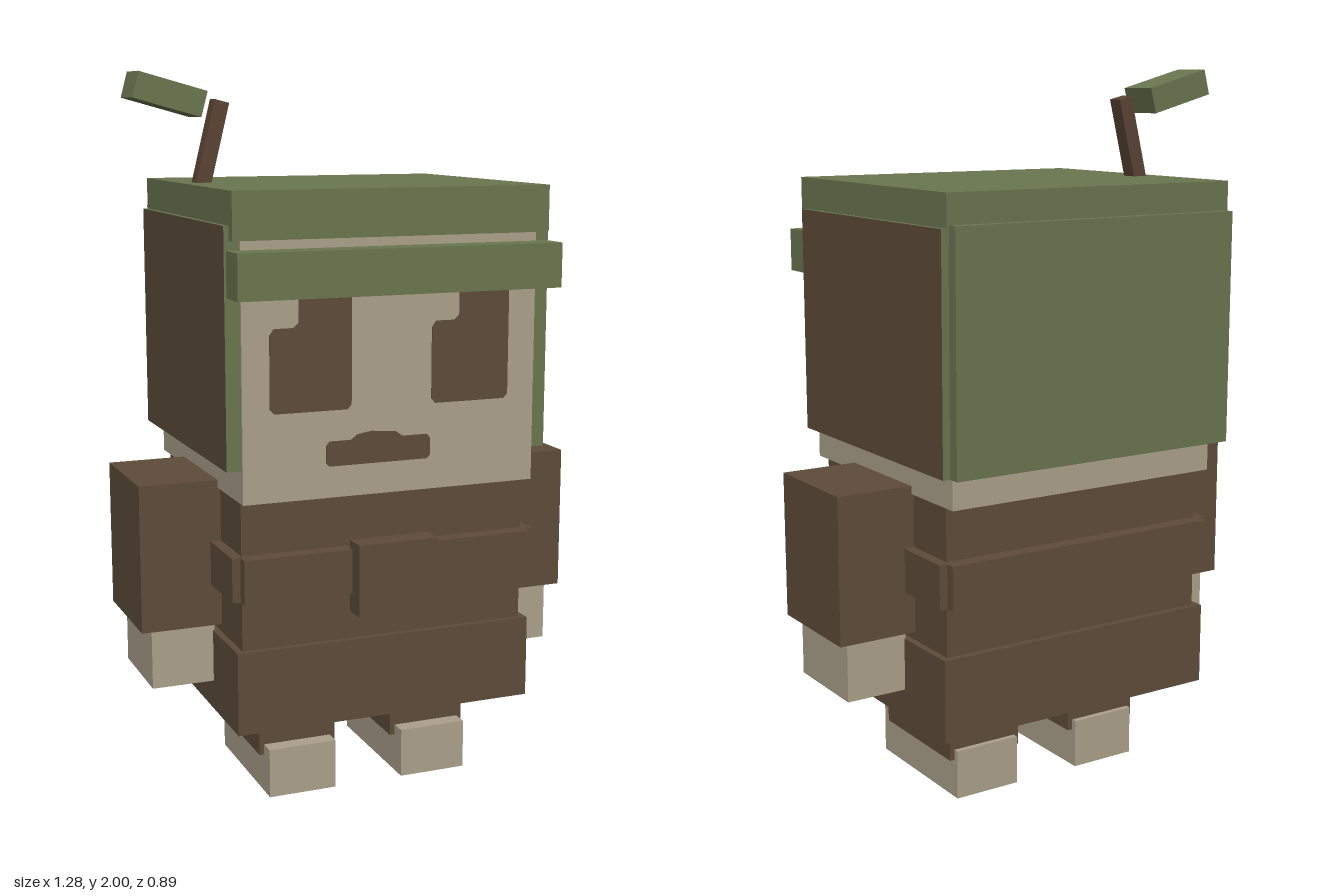
import * as THREE from 'three';

const mat = (name, color) => {
  const m = new THREE.MeshStandardMaterial({ color });
  m.name = name;
  return m;
};

export function createModel() {
  const green = mat('moss green', 0x6a764f);
  const brown = mat('bark brown', 0x5e4c3a);
  const twigBrown = mat('twig brown', 0x5b4435);
  const skin = mat('pale wood', 0xaba08b);

  const model = new THREE.Group();
  model.name = 'blockFigure';

  // Box given by its extents on each axis
  const box = (name, material, [x0, x1], [y0, y1], [z0, z1], parent = model) => {
    const mesh = new THREE.Mesh(new THREE.BoxGeometry(x1 - x0, y1 - y0, z1 - z0), material);
    mesh.position.set((x0 + x1) / 2, (y0 + y1) / 2, (z0 + z1) / 2);
    mesh.name = name;
    parent.add(mesh);
    return mesh;
  };
  // Extent along x for the left (s = 1) or right (s = -1) side
  const side = (s, a, b) => (s > 0 ? [a, b] : [-b, -a]);

  // Head and hair
  box('head', skin, [-0.42, 0.42], [0.89, 1.6], [-0.39, 0.365]);
  box('hairTop', green, [-0.447, 0.447], [1.575, 1.7], [-0.415, 0.385]);
  box('hairBack', green, [-0.44, 0.44], [0.98, 1.62], [-0.445, -0.385]);
  box('hairFringe', green, [-0.455, 0.455], [1.43, 1.55], [0.355, 0.448]);

  // Face details: thin plates on the front of the head
  const plate = (name, points) => {
    const shape = new THREE.Shape(points.map(([x, y]) => new THREE.Vector2(x, y)));
    const mesh = new THREE.Mesh(new THREE.ExtrudeGeometry(shape, { depth: 0.006, bevelEnabled: false }), brown);
    mesh.position.z = 0.362;
    mesh.name = name;
    model.add(mesh);
  };
  [['rightEye', -0.345], ['leftEye', 0.113]].forEach(([name, x]) => plate(name, [
    [x + 0.012, 1.125], [x + 0.215, 1.125], [x + 0.227, 1.137], [x + 0.227, 1.46], [x + 0.08, 1.46],
    [x + 0.08, 1.36], [x + 0.065, 1.347], [x + 0.012, 1.347], [x, 1.33], [x, 1.137],
  ]));
  plate('mouth', [
    [-0.18, 0.975], [0.1, 0.975], [0.11, 0.985], [0.11, 1.03], [0.1, 1.042], [0.03, 1.042],
    [0.01, 1.056], [-0.06, 1.062], [-0.1, 1.056], [-0.12, 1.042], [-0.18, 1.042], [-0.19, 1.03], [-0.19, 0.985],
  ]);

  // Torso and skirt
  box('torso', brown, [-0.413, 0.413], [0.47, 0.895], [-0.345, 0.322]);
  box('skirt', brown, [-0.432, 0.432], [0.25, 0.48], [-0.365, 0.34]);

  // Belt
  box('beltFront', brown, [-0.42, 0.42], [0.62, 0.742], [0.31, 0.368]);
  box('beltBack', brown, [-0.42, 0.42], [0.62, 0.742], [-0.388, -0.335]);
  box('buckle', brown, [-0.115, 0.115], [0.567, 0.765], [0.35, 0.416]);

  for (const s of [1, -1]) {
    const label = s > 0 ? 'left' : 'right';
    // Side hair panel: green rim with a brown outer face
    const faces = [green, green, green, green, green, green];
    faces[s > 0 ? 0 : 1] = brown;
    box(label + 'HairPanel', faces, side(s, 0.415, 0.461), [0.98, 1.612], [-0.412, 0.357]);
    box(label + 'BeltSide', brown, side(s, 0.4, 0.443), [0.62, 0.742], [-0.36, 0.335]);

    // Arm and hand
    box(label + 'Arm', brown, side(s, 0.412, 0.64), [0.503, 0.912], [-0.177, 0.146]);
    box(label + 'Hand', skin, side(s, 0.428, 0.607), [0.333, 0.51], [-0.15, 0.121]);

    // Leg and foot
    box(label + 'Leg', brown, side(s, 0.087, 0.314), [0.11, 0.26], [-0.19, 0.163]);
    box(label + 'Foot', skin, side(s, 0.102, 0.3), [0, 0.14], [-0.206, 0.21]);
  }

  // Sprout: leaning twig with a floating leaf
  const twig = box('twig', twigBrown, [-0.021, 0.021], [-0.28, 0], [-0.108, -0.062]);
  twig.geometry.translate(0, -0.14, 0);
  twig.position.set(-0.326, 1.92, -0.085);
  twig.rotation.z = -0.245;
  const leaf = box('leaf', green, [-0.577, -0.379], [1.9015, 1.9735], [-0.163, -0.04]);
  leaf.rotation.z = -0.265;

  return model;
}
